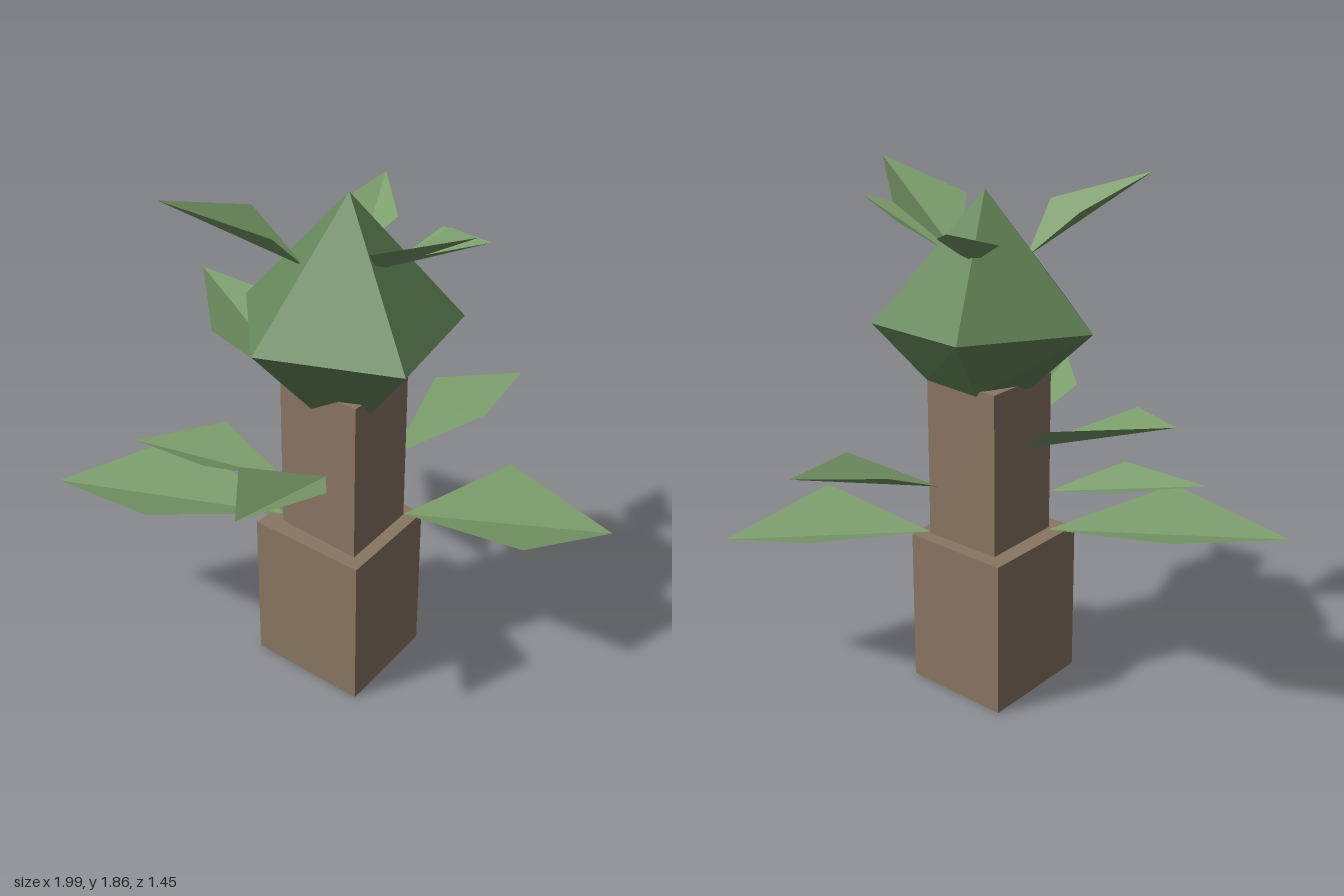
import * as THREE from 'three';

const material = (color, side = THREE.FrontSide) =>
  new THREE.MeshStandardMaterial({ color, side, flatShading: true });

const BARK = material(0x8a7663);
const CROWN = material(0x648658);
const LEAF = material(0x7a9c6a, THREE.DoubleSide);

// Mesh from a list of triangles, each corner an [x, y, z] point
function facetMesh(name, triangles, mat) {
  const geometry = new THREE.BufferGeometry();
  geometry.setAttribute('position', new THREE.Float32BufferAttribute(triangles.flat(), 3));
  geometry.computeVertexNormals();
  const mesh = new THREE.Mesh(geometry, mat);
  mesh.name = name;
  return mesh;
}

// Closed solid through two rings that run from +x towards +z
function ringWall(low, high) {
  const tris = [];
  low.forEach((a, i) => {
    const j = (i + 1) % low.length;
    tris.push(a, high[i], low[j], low[j], high[i], high[j]);
  });
  return tris;
}

function cap(ring, up) {
  const tris = [];
  for (let i = 1; i < ring.length - 1; i++) {
    tris.push(ring[0], ...(up ? [ring[i + 1], ring[i]] : [ring[i], ring[i + 1]]));
  }
  return tris;
}

// Four-cornered trunk block with its corners towards the axes
function trunkBlock(name, y0, y1, right, front, left, back) {
  const ring = (y) => [[right, y, 0.065], [0.045, y, front], [left, y, 0.065], [0.045, y, back]];
  const low = ring(y0), high = ring(y1);
  return facetMesh(name, [...ringWall(low, high), ...cap(low, false), ...cap(high, true)], BARK);
}

// Uneven five-sided crown: lower ring, waist and apex
function crown() {
  const apex = [0.045, 1.81, 0.065];
  const waist = [[0.435, 0.065], [0.18, 0.48], [-0.285, 0.3], [-0.285, -0.175], [0.18, -0.265]]
    .map(([x, z]) => [x, 1.36, z]);
  const base = [[0.25, 1.15, 0.065], [0.1, 1.1, 0.245], [-0.09, 1.09, 0.17],
    [-0.1, 1.14, -0.04], [0.1, 1.14, -0.11]];
  const tris = [...ringWall(base, waist), ...cap(base, false)];
  waist.forEach((p, i) => tris.push(p, apex, waist[(i + 1) % 5]));
  return facetMesh('crown', tris, CROWN);
}

// Leaf folded along its midrib: base, one side, tip, other side
function leaf(name, base, sideA, tip, sideB) {
  return facetMesh(name, [base, sideA, tip, base, tip, sideB], LEAF);
}

export function createModel() {
  const group = new THREE.Group();
  group.name = 'plant';

  group.add(trunkBlock('lowerTrunk', 0, 0.57, 0.315, 0.385, -0.28, -0.26));
  group.add(trunkBlock('upperTrunk', 0.57, 1.16, 0.25, 0.31, -0.185, -0.17));
  group.add(crown());

  // Leaves around the trunk
  const trunkLeaves = [
    [[0.25, 0.575, 0.07], [0.61, 0.64, 0.415], [0.99, 0.53, 0.195], [0.68, 0.64, -0.125]],
    [[-0.175, 0.575, 0.03], [-0.53, 0.68, -0.38], [-1, 0.6, -0.225], [-0.67, 0.68, 0.145]],
    [[0.22, 0.78, -0.01], [0.54, 0.925, -0.01], [0.73, 0.94, -0.285], [0.41, 0.93, -0.295]],
    [[-0.175, 0.725, 0.03], [-0.375, 0.815, -0.235], [-0.7, 0.795, -0.165], [-0.46, 0.815, 0.06]],
    [[-0.06, 0.95, -0.12], [-0.08, 1.15, -0.52], [-0.435, 1.22, -0.725], [-0.41, 1.15, -0.315]],
    [[-0.045, 0.85, 0.22], [-0.34, 1.01, 0.385], [-0.36, 1.03, 0.72], [-0.07, 1.01, 0.56]],
  ];
  trunkLeaves.forEach((points, i) => group.add(leaf(`trunkLeaf${i + 1}`, ...points)));

  // Leaves near the tip of the crown
  const crownLeaves = [
    [[-0.1, 1.57, 0.09], [-0.26, 1.74, -0.03], [-0.55, 1.84, 0.165], [-0.21, 1.74, 0.26]],
    [[0.13, 1.57, 0.14], [0.07, 1.74, 0.405], [0.36, 1.855, 0.57], [0.345, 1.745, 0.225]],
    [[0.16, 1.58, 0.14], [0.24, 1.7, 0.33], [0.445, 1.75, 0.365], [0.34, 1.7, 0.105]],
    [[0.1, 1.58, -0.03], [0.22, 1.67, -0.06], [0.21, 1.735, -0.31], [0.03, 1.67, -0.19]],
  ];
  crownLeaves.forEach((points, i) => group.add(leaf(`crownLeaf${i + 1}`, ...points)));

  return group;
}
